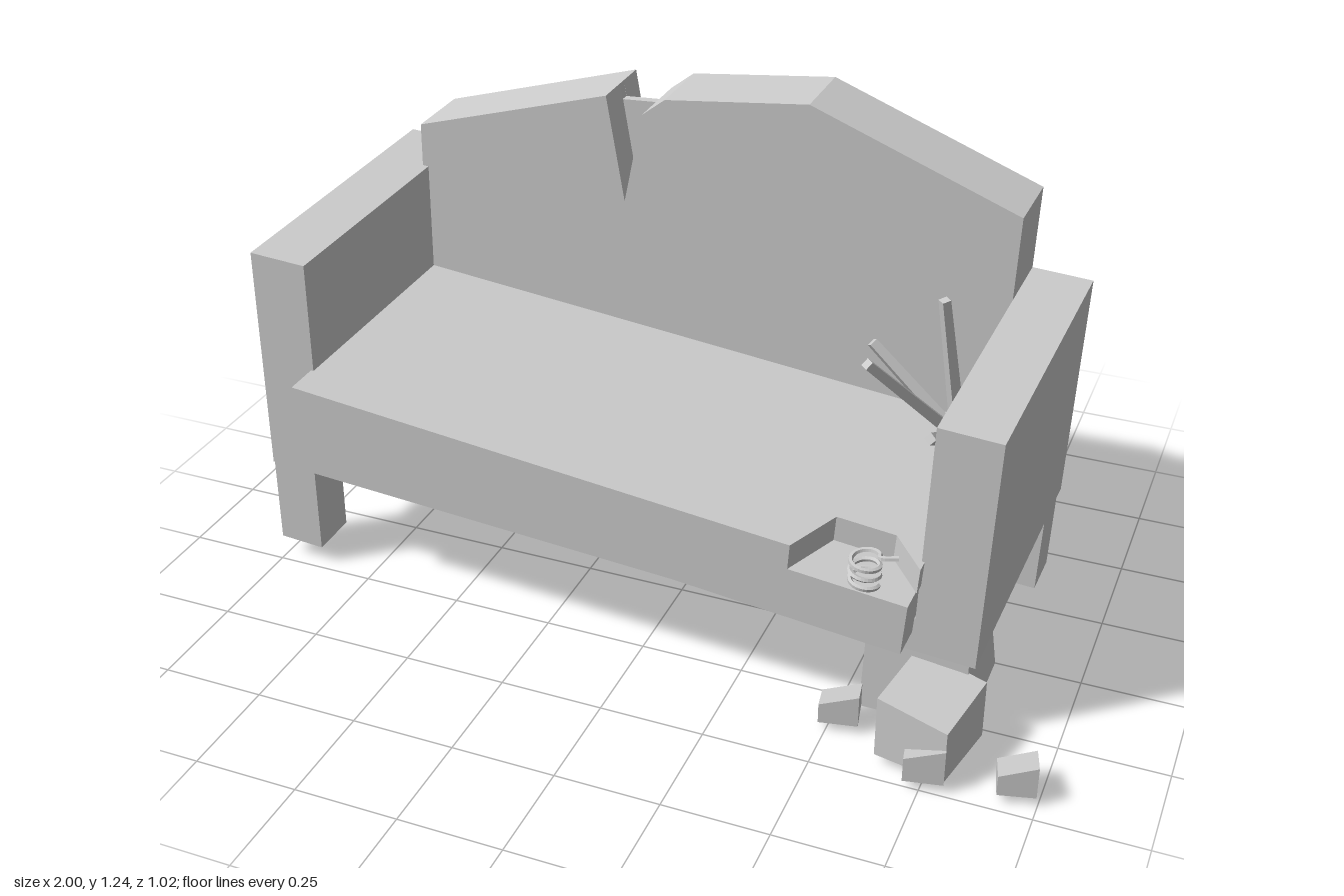
import * as THREE from 'three';

const mat = new THREE.MeshStandardMaterial({ color: 0xcccccc, flatShading: true });

function add(parent, name, geo) {
  const mesh = new THREE.Mesh(geo, mat);
  mesh.name = name;
  parent.add(mesh);
  return mesh;
}

// box given by its lower and upper corners
function span(x0, x1, y0, y1, z0, z1) {
  return new THREE.BoxGeometry(x1 - x0, y1 - y0, z1 - z0)
    .translate((x0 + x1) / 2, (y0 + y1) / 2, (z0 + z1) / 2);
}

// outline in x and y, extruded from z0 to z1
function slab(points, z0, z1) {
  const shape = new THREE.Shape(points.map(([x, y]) => new THREE.Vector2(x, y)));
  return new THREE.ExtrudeGeometry(shape, { depth: z1 - z0, bevelEnabled: false }).translate(0, 0, z0);
}

// outline in x and z, extruded from y0 to y1
function plate(points, y0, y1) {
  return slab(points, 0, y1 - y0).rotateX(Math.PI / 2).translate(0, y1, 0);
}

// pointed square stick between two points
function splinter(parent, from, to, radius) {
  const a = new THREE.Vector3(...from), b = new THREE.Vector3(...to);
  const dir = b.clone().sub(a);
  const stick = add(parent, 'splinter', new THREE.CylinderGeometry(radius * 0.75, radius, dir.length(), 4));
  stick.position.copy(a).add(b).multiplyScalar(0.5);
  stick.quaternion.setFromUnitVectors(new THREE.Vector3(0, 1, 0), dir.normalize());
}

// block of rubble whose top slopes up towards +x and +z
function chunk(parent, x, z, w, d, low, high, turn) {
  const geo = new THREE.BoxGeometry(w, 1, d);
  const p = geo.attributes.position;
  for (let i = 0; i < p.count; i++) {
    const t = (p.getX(i) > 0 ? 0.6 : 0) + (p.getZ(i) > 0 ? 0.4 : 0);
    p.setY(i, p.getY(i) > 0 ? low + (high - low) * t : 0);
  }
  const block = add(parent, 'rubble', geo);
  block.position.set(x, 0.02, z);
  block.rotation.y = turn;
}

export function createModel() {
  const model = new THREE.Group();

  // the whole sofa leans towards its broken front leg
  const sofa = new THREE.Group();
  sofa.name = 'sofa';
  sofa.position.set(-0.082, 0.2585, -0.1);
  sofa.rotation.set(0.05, -0.035, -0.044);
  model.add(sofa);

  const L = 0.906, D = 0.37, A = 0.761, H = 0.594, BASE = 0.09;

  // base, cracked open at the rear
  add(sofa, 'base', plate([[-A, -D], [-0.217, -D], [-0.09, 0], [0.055, -D], [A, -D], [A, D], [-A, D]], 0, BASE));

  // arms
  for (const s of [-1, 1]) {
    add(sofa, 'arm', span(0, L - A, 0, H, -D, D)).position.x = s > 0 ? A : -L;
  }

  // backrest in three layers, split from the top and from the rear bottom
  const right = [[A, BASE], [A, 0.804], [0.245, 0.972]];
  const left = [[-0.264, 0.89], [-0.777, 0.707], [-0.777, BASE]];
  const split = [[-0.112, 0.91], [-0.17, 0.86], [-0.213, 0.622]];
  const crack = [[-0.205, BASE], [-0.16, 0.16], [-0.15, 0.425], [0.012, BASE]];
  add(sofa, 'backrestFront', slab([...right, ...split, ...left], -0.28, -0.2));
  add(sofa, 'backrestCore', slab([...right, [-0.112, 0.91], [-0.17, 0.86], [-0.257, 0.85], ...left], -0.3, -0.28));
  add(sofa, 'backrestRear', slab([...right, ...split, ...left, ...crack], -D, -0.3));

  // legs; the fourth has broken off
  for (const [x, z] of [[-L + 0.06, D - 0.06], [-L + 0.06, -D + 0.06], [L - 0.065, -D + 0.06]]) {
    add(sofa, 'leg', span(-0.058, 0.058, -0.232, 0, -0.058, 0.058)).position.set(x, 0, z);
  }

  // sagging seat cushion with a torn front corner
  const seat = new THREE.Group();
  seat.name = 'seatCushion';
  seat.position.y = 0.278;
  seat.rotation.z = -0.039;
  sofa.add(seat);
  const F = 0.453;
  add(seat, 'cushionBody', span(-0.768, 0.765, -0.197, -0.065, -0.2, F));
  add(seat, 'cushionTop', plate([[-0.768, -0.2], [0.768, -0.2], [0.768, 0.4], [0.685, 0.31],
    [0.545, 0.31], [0.49, F], [-0.768, F]], -0.065, 0));

  // bare spring in the tear
  const coil = [];
  for (let i = 0; i <= 36; i++) {
    const a = i / 36 * Math.PI * 6;
    coil.push(new THREE.Vector3(Math.cos(a) * 0.032, i / 36 * 0.07, Math.sin(a) * 0.032));
  }
  coil.push(new THREE.Vector3(0.07, 0.072, -0.01));
  add(model, 'spring', new THREE.TubeGeometry(new THREE.CatmullRomCurve3(coil), 90, 0.006, 5))
    .position.set(0.568, 0.41, 0.368);

  // splinters at the rear of the seat
  const root = [0.61, 0.44, -0.25];
  for (const tip of [[0.39, 0.66, -0.235], [0.44, 0.72, -0.02], [0.567, 0.825, -0.19], [0.59, 0.54, -0.05]]) {
    splinter(model, root, tip, 0.02);
  }

  // flared block propping up the broken corner
  const prop = new THREE.BoxGeometry(0.25, 0.2, 0.27);
  const p = prop.attributes.position;
  for (let i = 0; i < p.count; i++) {
    if (p.getY(i) > 0) {
      p.setX(i, p.getX(i) * 0.94);
      if (p.getZ(i) < 0) p.setZ(i, p.getZ(i) + 0.07);
    }
  }
  add(model, 'propBlock', prop).position.set(0.675, 0.115, 0.155);

  // rubble
  chunk(model, 0.735, 0.37, 0.17, 0.19, 0.17, 0.13, -0.2);
  chunk(model, 0.75, 0.46, 0.09, 0.08, 0.04, 0.09, 0.2);
  chunk(model, 0.52, 0.34, 0.09, 0.08, 0.03, 0.08, 0.2);
  chunk(model, 0.945, 0.425, 0.085, 0.085, 0.03, 0.08, 0.25);

  return model;
}
